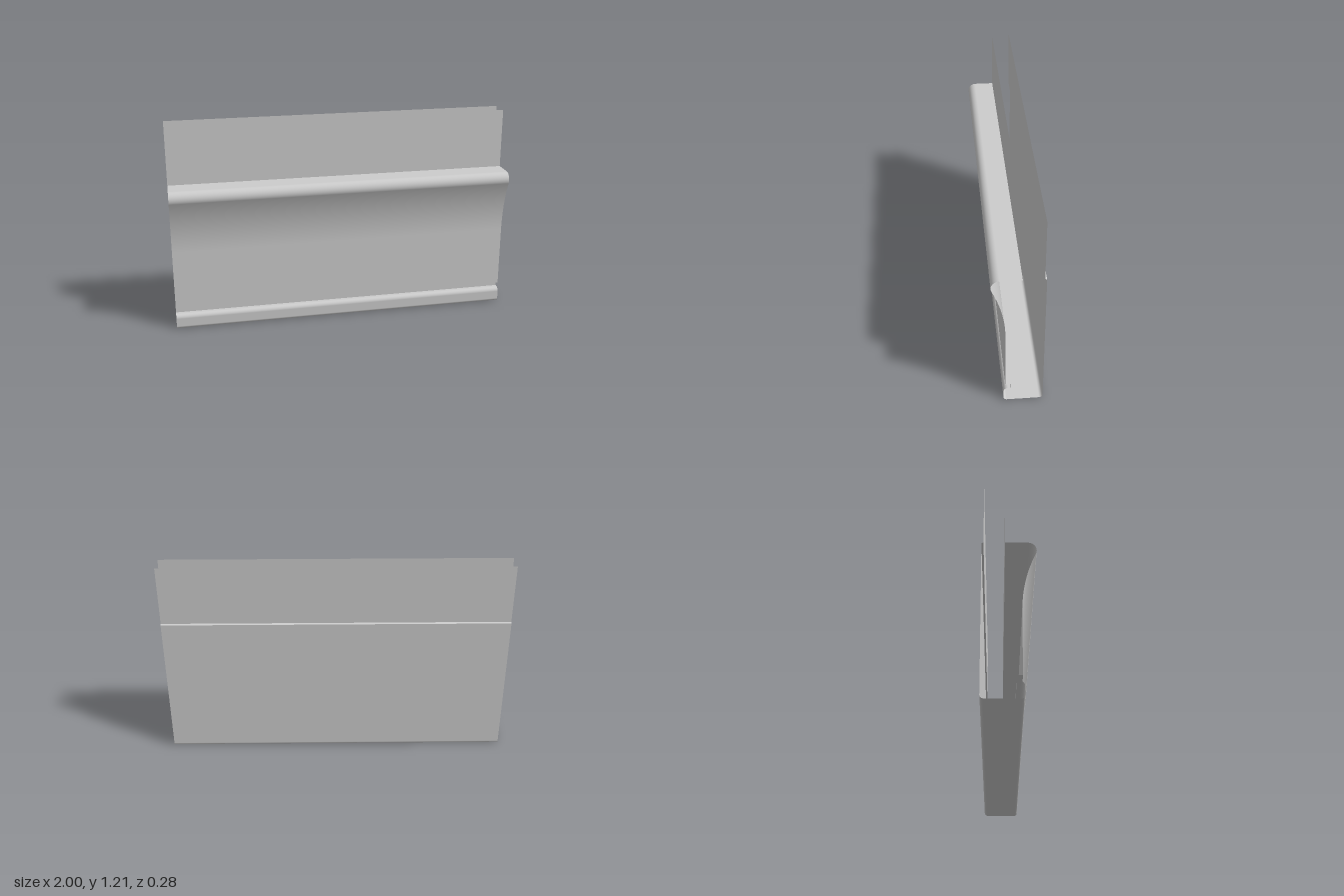
import * as THREE from 'three';

const LENGTH = 2;

// Sweeps a (z, y) path along x as an open sheet; bends stay smooth, corners stay sharp.
function sheet(name, path, material) {
  const pos = [], nor = [], idx = [];
  for (const curve of path.curves) {
    const n = curve.isLineCurve ? 1 : 16;
    for (let i = 0; i <= n; i++) {
      const p = curve.getPoint(i / n), t = curve.getTangent(i / n);
      const k = pos.length / 3;
      for (const x of [-LENGTH / 2, LENGTH / 2]) {
        pos.push(x, p.y, p.x);
        nor.push(0, t.x, -t.y);
      }
      if (i < n) idx.push(k, k + 2, k + 1, k + 1, k + 2, k + 3);
    }
  }
  const geo = new THREE.BufferGeometry();
  geo.setAttribute('position', new THREE.Float32BufferAttribute(pos, 3));
  geo.setAttribute('normal', new THREE.Float32BufferAttribute(nor, 3));
  geo.setIndex(idx);
  const mesh = new THREE.Mesh(geo, material);
  mesh.name = name;
  return mesh;
}

export function createModel() {
  const group = new THREE.Group();
  group.name = 'mouldedPanel';
  const material = new THREE.MeshStandardMaterial({ color: 0xcccccc, side: THREE.DoubleSide });
  const add = (name, path) => group.add(sheet(name, path, material));
  const start = (z, y) => new THREE.Path().moveTo(z, y);
  const rad = THREE.MathUtils.degToRad;

  // Upright flange above the ledge
  add('frontFlange', start(-0.02, 1.21).lineTo(-0.02, 0.86));

  // Ledge, rounded nose, concave sweep and flat face
  add('mouldedFace', start(-0.02, 0.86)
    .lineTo(0.095, 0.86)
    .absarc(0.095, 0.815, 0.045, rad(90), rad(-25), true)
    .absarc(0.823, 0.476, 0.758, rad(155), rad(180), false)
    .lineTo(0.065, 0.12));

  // Narrow groove under the face
  add('groove', start(0.065, 0.12)
    .lineTo(0.035, 0.12)
    .lineTo(0.035, 0.09)
    .lineTo(0.05, 0.09));

  // Rounded bead along the bottom edge
  add('bottomBead', start(0.05, 0.09)
    .absarc(0.05, 0.065, 0.025, rad(90), 0, true)
    .lineTo(0.075, 0.018)
    .absarc(0.057, 0.018, 0.018, 0, rad(-90), true));

  // Underside turning up into the back wall, with a small step at its top
  add('backPanel', start(0.057, 0)
    .lineTo(-0.12, 0)
    .absarc(-0.12, 0.02, 0.02, rad(270), rad(180), true)
    .lineTo(-0.14, 0.855)
    .lineTo(-0.13, 0.86));

  // Upright flange above the back wall
  add('backFlange', start(-0.13, 0.86).lineTo(-0.13, 1.21));

  return group;
}
